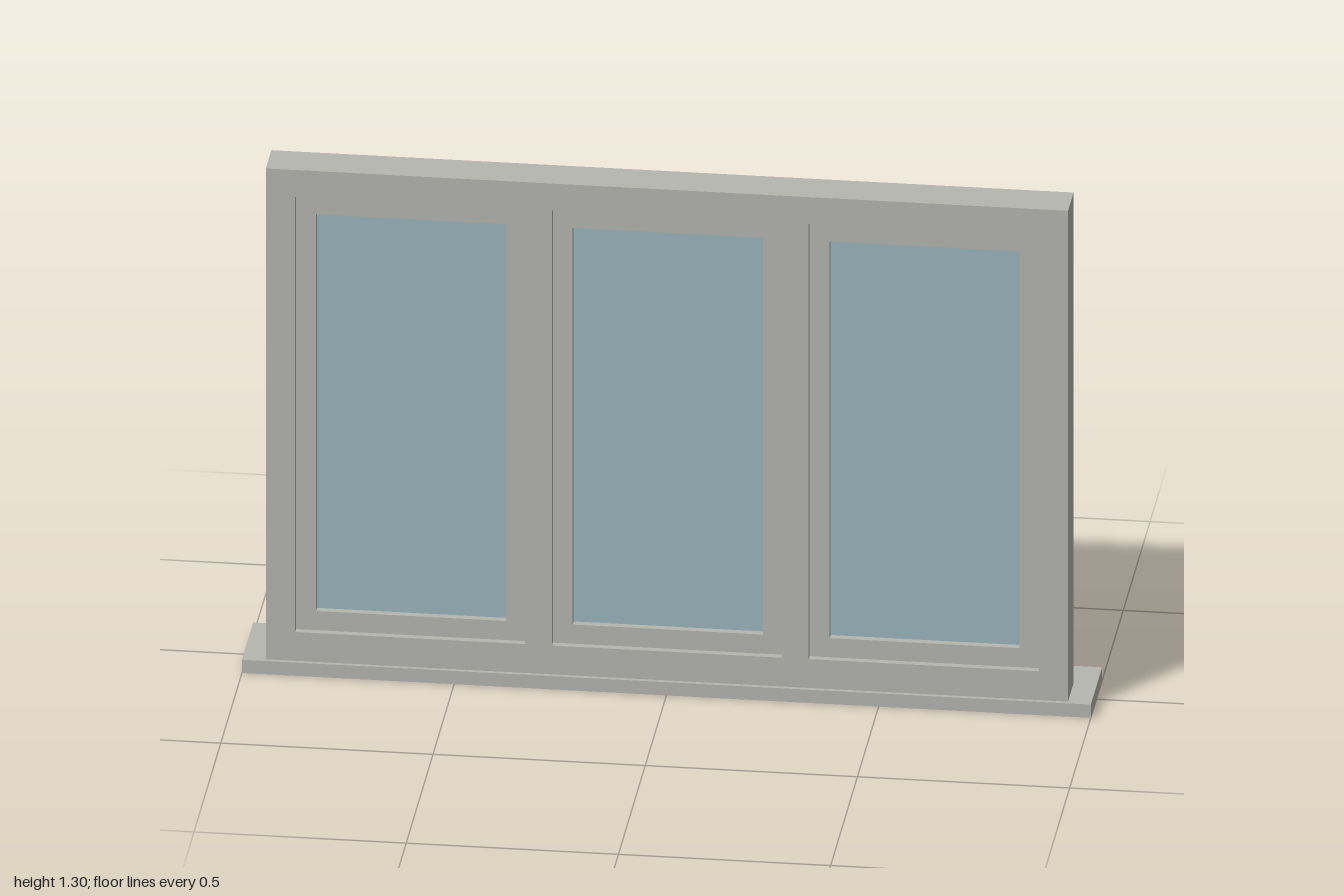
import * as THREE from 'three';

const frameMat = new THREE.MeshStandardMaterial({ color: 0xb6b6b0 });
frameMat.name = 'warm grey frame';
const glassMat = new THREE.MeshStandardMaterial({ color: 0x9cb6be });
glassMat.name = 'pale blue glass';

// Rectangle outline given by centre x, half width and bottom/top heights
function rect(Type, cx, halfW, y0, y1) {
  const p = new Type();
  p.moveTo(cx - halfW, y0);
  p.lineTo(cx + halfW, y0);
  p.lineTo(cx + halfW, y1);
  p.lineTo(cx - halfW, y1);
  p.closePath();
  return p;
}

// Flat panel with rectangular holes, running from z0 to z1
function panel(name, outline, holes, z0, z1) {
  outline.holes.push(...holes);
  const geo = new THREE.ExtrudeGeometry(outline, { depth: z1 - z0, bevelEnabled: false });
  geo.translate(0, 0, z0);
  const mesh = new THREE.Mesh(geo, frameMat);
  mesh.name = name;
  return mesh;
}

function box(name, mat, [x0, x1], [y0, y1], [z0, z1]) {
  const mesh = new THREE.Mesh(new THREE.BoxGeometry(x1 - x0, y1 - y0, z1 - z0), mat);
  mesh.position.set((x0 + x1) / 2, (y0 + y1) / 2, (z0 + z1) / 2);
  mesh.name = name;
  return mesh;
}

export function createModel() {
  const window = new THREE.Group();
  window.name = 'window';

  const centres = [-0.605, 0, 0.605];
  const openW = 0.271, open = [0.108, 1.228];
  const paneW = 0.224, pane = [0.157, 1.178];

  // Sill board
  window.add(box('sill', frameMat, [-1, 1], [0, 0.034], [-0.105, 0.105]));

  // Outer frame with its two mullions
  window.add(panel('outerFrame', rect(THREE.Shape, 0, 0.945, 0.034, 1.297),
    centres.map((x) => rect(THREE.Path, x, openW, ...open)), -0.008, 0.095));

  // Recessed sashes, each holding a pane
  for (const x of centres) {
    window.add(panel('sash', rect(THREE.Shape, x, openW, ...open),
      [rect(THREE.Path, x, paneW, ...pane)], 0.009, 0.078));
    window.add(box('glass', glassMat, [x - paneW, x + paneW], pane, [0.027, 0.06]));
  }

  // Handles on the inner stiles of the side sashes, at the back
  for (const side of [-1, 1]) {
    const x = side * 0.357;
    window.add(box('handle', frameMat, [x - 0.012, x + 0.012], [0.603, 0.727], [-0.018, 0.01]));
  }

  return window;
}
